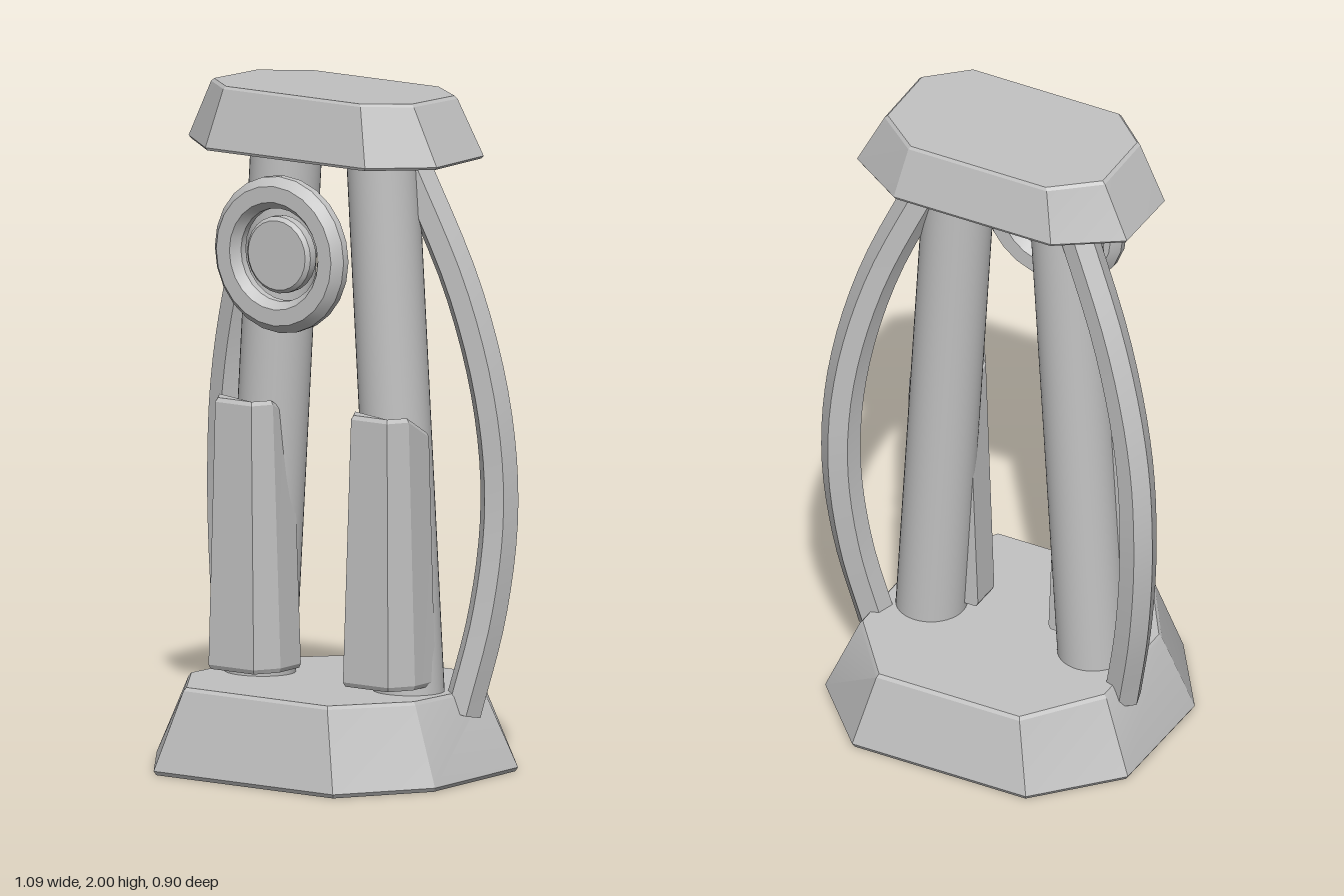
import * as THREE from 'three';
import { toCreasedNormals } from 'three/addons/utils/BufferGeometryUtils.js';

const V = (x, y, z) => new THREE.Vector3(x, y, z);

// Skin a list of rings (counter-clockwise from above, bottom to top) and cap both ends
function loft(rings) {
  const n = rings[0].length, pos = [], idx = [];
  rings.forEach(r => r.forEach(p => pos.push(p.x, p.y, p.z)));
  for (let i = 0; i < rings.length - 1; i++) {
    for (let j = 0; j < n; j++) {
      const a = i * n + j, b = i * n + (j + 1) % n;
      idx.push(a, b, b + n, a, b + n, a + n);
    }
  }
  const top = (rings.length - 1) * n;
  for (let j = 1; j < n - 1; j++) idx.push(0, j + 1, j, top, top + j, top + j + 1);
  const g = new THREE.BufferGeometry();
  g.setAttribute('position', new THREE.Float32BufferAttribute(pos, 3));
  g.setIndex(idx);
  return toCreasedNormals(g, 0.3);
}

const mirrorRing = r => r.map(p => V(-p.x, p.y, p.z)).reverse();

// Symmetrical octagon from its four right-hand corners, front to back
function octagon(half, yFront, yBack, s = 1) {
  const zs = half.map(p => p[1]), z0 = Math.max(...zs), z1 = Math.min(...zs);
  const right = half.map(([x, z]) =>
    V(x * s, yBack + (yFront - yBack) * (z - z1) / (z0 - z1), z * s));
  return [...right, ...mirrorRing(right)];
}

export function createModel() {
  const model = new THREE.Group();
  const grey = new THREE.MeshStandardMaterial({ color: 0xc2c2c2 });
  grey.name = 'plain grey';
  const add = (name, geometry) => {
    const m = new THREE.Mesh(geometry, grey);
    m.name = name;
    model.add(m);
    return m;
  };

  // Bevelled pedestal
  const baseLow = [[0.32, 0.45], [0.497, 0.19], [0.497, -0.22], [0.285, -0.45]];
  const baseHigh = [[0.257, 0.39], [0.405, 0.16], [0.405, -0.18], [0.235, -0.395]];
  add('base', loft([
    octagon(baseLow, 0, 0, 0.985), octagon(baseLow, 0.012, 0.012),
    octagon(baseHigh, 0.246, 0.228), octagon(baseHigh, 0.256, 0.238, 0.98),
  ]));

  // Bevelled cap
  const capLow = [[0.285, 0.243], [0.443, 0.107], [0.443, -0.125], [0.258, -0.246]];
  const capHigh = [[0.245, 0.21], [0.362, 0.108], [0.362, -0.108], [0.227, -0.214]];
  add('cap', loft([
    octagon(capLow, 1.812, 1.812, 0.985), octagon(capLow, 1.82, 1.82),
    octagon(capHigh, 1.992, 1.978), octagon(capHigh, 2, 1.987, 0.975),
  ]));

  // Centre line of the bowed side arm
  const armPath = new THREE.CatmullRomCurve3([
    V(0.402, 0.185, -0.075), V(0.462, 0.48, -0.118), V(0.488, 0.78, -0.14),
    V(0.468, 1.08, -0.132), V(0.385, 1.42, -0.105), V(0.222, 1.81, -0.055),
  ]);
  const armRings = armPath.getPoints(24).map((p, i) => {
    const t = armPath.getTangent(i / 24);
    const out = V(1, 0, -0.3).addScaledVector(t, -V(1, 0, -0.3).dot(t)).normalize();
    const side = t.clone().cross(out);
    return Array.from({ length: 6 }, (_, k) => {
      const a = k * Math.PI / 3;
      return p.clone().addScaledVector(out, 0.058 * Math.cos(a))
        .addScaledVector(side, 0.054 * Math.sin(a));
    });
  });

  // Faceted plate in front of each column, with a sloping top
  const plateRing = (cx, w, front, y, yBack) => [
    V(cx + 0.65 * w, y, front), V(cx + w, y, 0.105), V(cx + w, yBack, 0.005),
    V(cx - w, yBack, 0.005), V(cx - w, y, 0.105), V(cx - 0.65 * w, y, front),
  ];
  const plateRings = [
    plateRing(0.24, 0.118, 0.172, 0.272, 0.272),
    plateRing(0.24, 0.124, 0.178, 0.285, 0.285),
    plateRing(0.2425, 0.099, 0.164, 1.058, 1.0),
    plateRing(0.2425, 0.092, 0.157, 1.07, 1.012),
  ];

  for (const side of [1, -1]) {
    const label = side > 0 ? 'left' : 'right';
    const place = rings => loft(side > 0 ? rings : rings.map(mirrorRing));
    add(label + 'Arm', place(armRings));
    add(label + 'FrontPlate', place(plateRings));

    // Leaning round column
    const foot = V(side * 0.267, 0.22, 0), head = V(side * 0.169, 1.84, 0);
    const axis = head.clone().sub(foot);
    const column = add(label + 'Column',
      new THREE.CylinderGeometry(0.104, 0.104, axis.length(), 40));
    column.position.copy(foot).add(head).multiplyScalar(0.5);
    column.quaternion.setFromUnitVectors(V(0, 1, 0), axis.normalize());
  }

  // Floating ring with bevelled rims, and the disc inside it
  const rim = [[0.205, -0.04], [0.23, -0.012], [0.23, 0.012], [0.205, 0.04],
    [0.158, 0.04], [0.137, 0.012], [0.137, -0.012], [0.158, -0.04], [0.205, -0.04]];
  const disc = [[0, -0.025], [0.102, -0.025], [0.113, -0.014], [0.113, 0.014], [0.102, 0.025], [0, 0.025]];
  for (const [name, profile] of [['ring', rim], ['ringDisc', disc]]) {
    const g = new THREE.LatheGeometry(profile.map(p => new THREE.Vector2(...p)), 24);
    g.deleteAttribute('normal');
    g.deleteAttribute('uv');
    const m = add(name, toCreasedNormals(g, 0.4));
    m.rotation.x = Math.PI / 2;
    m.position.set(0, 1.54, 0.26);
  }
  return model;
}
